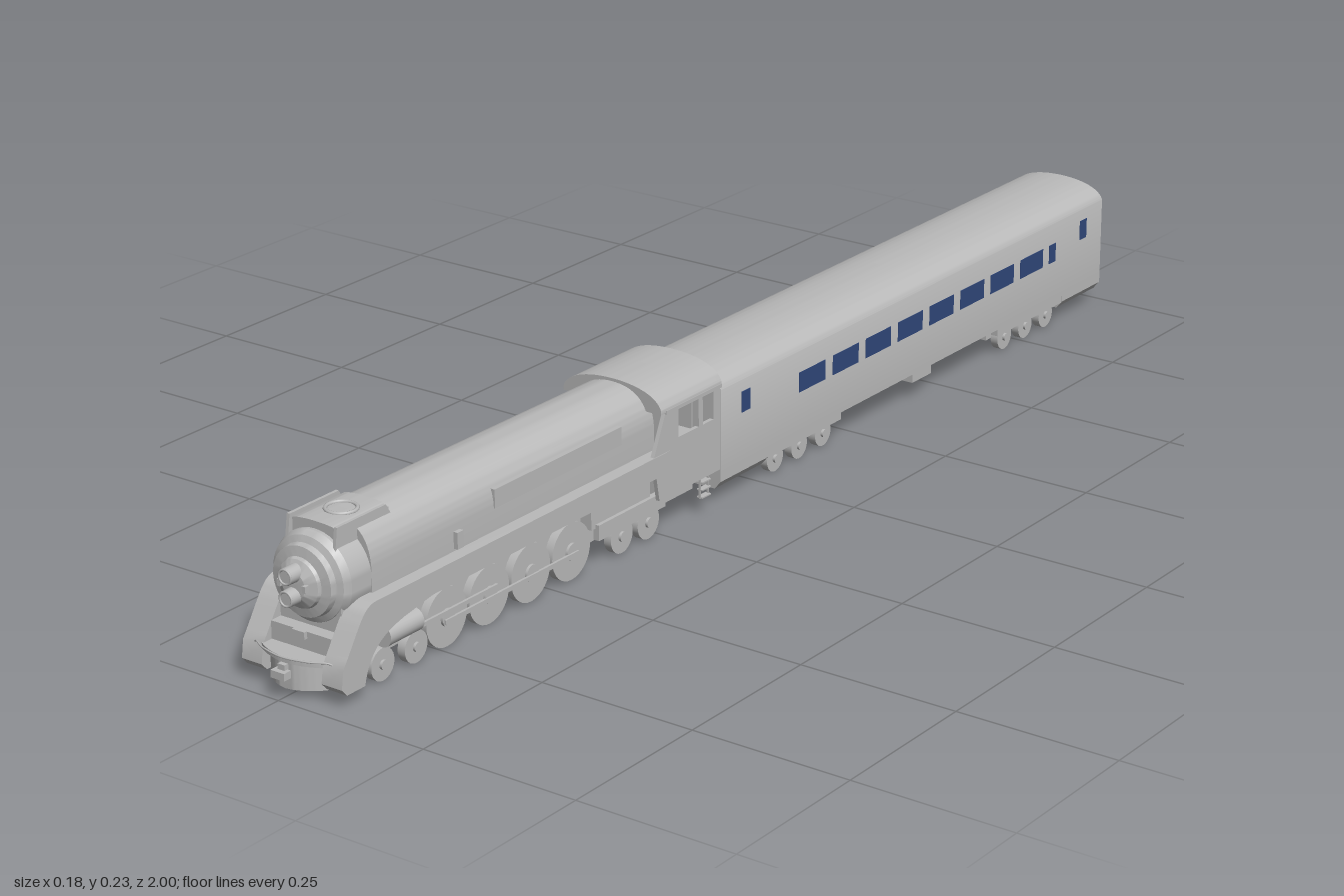
import * as THREE from 'three';
import { toCreasedNormals } from 'three/addons/utils/BufferGeometryUtils.js';

export function createModel() {
  const grey = new THREE.MeshStandardMaterial({ color: 0xb9b9b9 });
  grey.name = 'bodyGrey';
  const navy = new THREE.MeshStandardMaterial({ color: 0x30477a });
  navy.name = 'windowNavy';

  const model = new THREE.Group();
  const loco = new THREE.Group();
  loco.name = 'locomotive';
  const coach = new THREE.Group();
  coach.name = 'coach';
  model.add(loco, coach);

  // Helpers
  const add = (group, name, geo, mat = grey) => {
    const m = new THREE.Mesh(geo, mat);
    m.name = name;
    group.add(m);
    return m;
  };
  const box = (g, name, x0, x1, y0, y1, z0, z1, mat) =>
    add(g, name, new THREE.BoxGeometry(x1 - x0, y1 - y0, z1 - z0)
      .translate((x0 + x1) / 2, (y0 + y1) / 2, (z0 + z1) / 2), mat);
  const shapeOf = (pts) => new THREE.Shape(pts.map(([a, b]) => new THREE.Vector2(a, b)));
  // Cross-section in x,y swept from z0 to z1
  const alongZ = (shape, z0, z1) => toCreasedNormals(
    new THREE.ExtrudeGeometry(shape, { depth: z1 - z0, bevelEnabled: false, curveSegments: 20 }).translate(0, 0, z0), 0.5);
  // Side outline in z,y swept from x0 to x1
  const alongX = (shape, x0, x1) => toCreasedNormals(
    new THREE.ExtrudeGeometry(shape, { depth: x1 - x0, bevelEnabled: false }).rotateY(-Math.PI / 2).translate(x1, 0, 0), 0.5);
  const discX = (r, x0, x1, y, z) =>
    new THREE.CylinderGeometry(r, r, x1 - x0, 32).rotateZ(Math.PI / 2).translate((x0 + x1) / 2, y, z);
  const wheel = (g, name, r, z) => {
    for (const s of [-1, 1]) {
      const a = s * 0.06, b = s * 0.073;
      add(g, name, discX(r, Math.min(a, b), Math.max(a, b), r, z));
      const c = s * 0.073, d = s * 0.077;
      add(g, name + 'Hub', discX(r * 0.3, Math.min(c, d), Math.max(c, d), r, z));
    }
  };
  const bothSides = (fn) => { for (const s of [-1, 1]) fn(s); };
  const sideX = (fn, a, b) => bothSides((s) => fn(Math.min(s * a, s * b), Math.max(s * a, s * b), s));
  // Arched outline: straight walls with a curved roof
  const arch = (w, y0, eave, top) => {
    const s = new THREE.Shape();
    s.moveTo(-w, y0);
    s.lineTo(w, y0);
    s.lineTo(w, eave);
    s.bezierCurveTo(w * 0.92, (eave + top * 2) / 3, w * 0.5, top, 0, top);
    s.bezierCurveTo(-w * 0.5, top, -w * 0.92, (eave + top * 2) / 3, -w, eave);
    return s;
  };

  // ---- Coach ----
  add(coach, 'coachBody', alongZ(arch(0.083, 0.046, 0.182, 0.21), -0.985, 0.107));
  const skirt = shapeOf([[-0.083, 0.046], [-0.083, 0.036], [-0.072, 0.023], [0.072, 0.023], [0.083, 0.036], [0.083, 0.046]].reverse());
  add(coach, 'endSkirt', alongZ(skirt, -0.015, 0.107));
  add(coach, 'endSkirt', alongZ(skirt, -0.985, -0.865));
  for (const z of [-0.112, -0.765]) {
    box(coach, 'bogieFrame', -0.06, 0.06, 0.022, 0.047, z - 0.1, z + 0.1);
    sideX((a, b) => box(coach, 'bogieSide', a, b, 0.034, 0.047, z - 0.1, z + 0.1), 0.07, 0.082);
    for (const d of [-0.064, 0, 0.064]) wheel(coach, 'coachWheel', 0.021, z + d);
  }
  sideX((a, b) => box(coach, 'underfloorBox', a, b, 0.03, 0.047, -0.47, -0.416), 0.04, 0.08);

  // Windows as thin plates
  const pane = (z, w, y0, y1) =>
    sideX((a, b) => box(coach, 'coachWindow', a, b, y0, y1, z - w / 2, z + w / 2, navy), 0.08, 0.0838);
  for (let i = 0; i < 8; i++) pane(-0.131 - i * 0.0903, 0.07, 0.115, 0.147);
  pane(-0.828, 0.02, 0.115, 0.147);
  pane(0.043, 0.021, 0.13, 0.163);
  pane(-0.925, 0.021, 0.13, 0.163);

  // End doors with raised frames
  for (const [z0, z1] of [[-0.989, -0.984], [0.106, 0.11]]) {
    sideX((a, b) => box(coach, 'doorPost', a, b, 0.045, 0.178, z0, z1), 0.027, 0.032);
    box(coach, 'doorHeader', -0.032, 0.032, 0.173, 0.178, z0, z1);
    box(coach, 'doorSill', -0.032, 0.032, 0.045, 0.05, z0, z1);
  }
  box(coach, 'rearCoupler', -0.006, 0.006, 0.034, 0.044, -0.995, -0.98);
  box(coach, 'rearKnuckle', -0.011, 0.011, 0.031, 0.047, -1, -0.993);
  box(coach, 'frontCoupler', -0.008, 0.008, 0.034, 0.046, 0.1, 0.2);

  // ---- Locomotive boiler and nose ----
  const nose = [[0, 0.963], [0.02, 0.961], [0.035, 0.952], [0.037, 0.947], [0.051, 0.944], [0.053, 0.935],
    [0.062, 0.931], [0.067, 0.92], [0.067, 0.25], [0, 0.25]].reverse();
  add(loco, 'boiler', toCreasedNormals(new THREE.LatheGeometry(nose.map(([r, z]) => new THREE.Vector2(r, z)), 48)
    .rotateX(Math.PI / 2), 0.4)).position.y = 0.153;
  for (const y of [0.171, 0.139]) {
    const lamp = add(loco, 'headlight', new THREE.CylinderGeometry(0.012, 0.013, 0.03, 24).rotateX(Math.PI / 2));
    lamp.position.set(0, y, 0.962);
    const rim = add(loco, 'headlightRim', new THREE.TorusGeometry(0.0105, 0.0018, 8, 24));
    rim.position.set(0, y, 0.977);
  }
  bothSides((s) => box(loco, 'noseLatch', s * 0.022 - 0.003, s * 0.022 + 0.003, 0.149, 0.159, 0.95, 0.966));

  // Streamlined jacket that lowers gently toward the cab
  const jacket = new THREE.Shape();
  jacket.moveTo(-0.067, 0.12);
  jacket.lineTo(0.067, 0.12);
  jacket.lineTo(0.067, 0.165);
  jacket.bezierCurveTo(0.066, 0.195, 0.055, 0.231, 0, 0.231);
  jacket.bezierCurveTo(-0.055, 0.231, -0.066, 0.195, -0.067, 0.165);
  const jacketGeo = alongZ(jacket, 0.24, 0.88);
  const p = jacketGeo.attributes.position;
  for (let i = 0; i < p.count; i++) {
    const y = p.getY(i);
    if (y > 0.17 && p.getZ(i) < 0.3) p.setY(i, 0.17 + (y - 0.17) * 0.92);
  }
  add(loco, 'boilerJacket', jacketGeo);
  // Stack cover with side wings
  add(loco, 'stackCover', alongZ(arch(0.04, 0.195, 0.226, 0.231), 0.81, 0.915));
  sideX((a, b) => add(loco, 'smokeWing', alongX(shapeOf([[0.8, 0.2], [0.925, 0.198], [0.92, 0.233], [0.82, 0.233]]), a, b)), 0.039, 0.044);
  const stack = add(loco, 'stack', new THREE.TorusGeometry(0.022, 0.003, 8, 28).rotateX(Math.PI / 2));
  stack.position.set(0, 0.231, 0.86);
  sideX((a, b) => box(loco, 'jacketPanel', a, b, 0.165, 0.193, 0.33, 0.62), 0.055, 0.069);
  sideX((a, b) => box(loco, 'feedValve', a, b, 0.135, 0.16, 0.695, 0.708), 0.06, 0.074);

  // Running boards sweeping down into the front apron
  const apron = new THREE.Shape();
  apron.moveTo(0.24, 0.131);
  apron.lineTo(0.9, 0.131);
  apron.bezierCurveTo(0.925, 0.128, 0.93, 0.11, 0.968, 0.055);
  apron.lineTo(0.972, 0.028);
  apron.lineTo(0.962, 0.017);
  apron.lineTo(0.925, 0.017);
  apron.bezierCurveTo(0.915, 0.06, 0.89, 0.078, 0.84, 0.088);
  apron.lineTo(0.78, 0.098);
  apron.lineTo(0.24, 0.098);
  sideX((a, b) => add(loco, 'sideApron', alongX(apron, a, b)), 0.053, 0.0885);
  box(loco, 'frame', -0.055, 0.055, 0.03, 0.125, 0.14, 0.93);

  // Pilot: rounded plan, leaning forward at the foot
  const plan = new THREE.Shape();
  plan.moveTo(-0.068, 0.93);
  plan.lineTo(-0.068, 0.955);
  plan.quadraticCurveTo(-0.04, 0.982, 0, 0.985);
  plan.quadraticCurveTo(0.04, 0.982, 0.068, 0.955);
  plan.lineTo(0.068, 0.93);
  const slab = (name, y0, y1, sx) => add(loco, name, toCreasedNormals(
    new THREE.ExtrudeGeometry(plan, { depth: y1 - y0, bevelEnabled: false })
      .rotateX(Math.PI / 2).translate(0, y1, 0).scale(sx, 1, 1), 0.5));
  slab('pilot', 0.0125, 0.05, 0.76);
  slab('bufferBeam', 0.05, 0.058, 1.05);
  box(loco, 'frontDeck', -0.053, 0.053, 0.058, 0.085, 0.9, 0.95);
  box(loco, 'deckStep', -0.011, 0.011, 0.075, 0.086, 0.95, 0.956);
  box(loco, 'frontCoupler', -0.006, 0.006, 0.03, 0.05, 0.97, 0.992);
  box(loco, 'frontKnuckle', -0.012, 0.012, 0.031, 0.042, 0.986, 1);
  const rail = new THREE.CatmullRomCurve3([[-0.068, 0.04, 0.965], [-0.068, 0.057, 0.966], [-0.04, 0.06, 0.982],
    [0, 0.06, 0.99], [0.04, 0.06, 0.982], [0.068, 0.057, 0.966], [0.068, 0.04, 0.965]].map((v) => new THREE.Vector3(...v)));
  add(loco, 'frontHandrail', new THREE.TubeGeometry(rail, 40, 0.0014, 6));

  // Wheels, cylinders and rods
  for (const z of [0.87, 0.8]) wheel(loco, 'pilotWheel', 0.024, z);
  for (let i = 0; i < 4; i++) wheel(loco, 'drivingWheel', 0.044, 0.734 - i * 0.0927);
  for (const z of [0.337, 0.273]) wheel(loco, 'trailingWheel', 0.026, z);
  sideX((a, b) => {
    const c = add(loco, 'cylinder', new THREE.CylinderGeometry(0.017, 0.017, 0.07, 24).rotateX(Math.PI / 2));
    c.position.set((a + b) / 2, 0.066, 0.835);
  }, 0.058, 0.086);
  sideX((a, b) => {
    box(loco, 'couplingRod', a, b, 0.037, 0.044, 0.446, 0.744);
    box(loco, 'pistonRod', a, b, 0.052, 0.058, 0.63, 0.81);
  }, 0.076, 0.08);
  sideX((a, b) => box(loco, 'trailingTruckFrame', a, b, 0.042, 0.066, 0.24, 0.4), 0.07, 0.08);
  sideX((a, b) => box(loco, 'ashpan', a, b, 0.06, 0.098, 0.27, 0.41), 0.05, 0.074);

  // Cab: side walls with two open windows each
  const wall = shapeOf([[0.115, 0.06], [0.265, 0.06], [0.278, 0.13], [0.246, 0.2], [0.115, 0.2]]);
  for (const [z0, z1] of [[0.131, 0.158], [0.168, 0.218]]) {
    wall.holes.push(shapeOf([[z0, 0.145], [z0, 0.193], [z1, 0.193], [z1, 0.145]]));
  }
  sideX((a, b) => add(loco, 'cabSide', alongX(wall, a, b)), 0.081, 0.0875);
  add(loco, 'cabRoof', alongZ(arch(0.0885, 0.193, 0.2, 0.231), 0.113, 0.262));
  box(loco, 'cabFront', -0.082, 0.082, 0.06, 0.198, 0.24, 0.25);
  box(loco, 'cabFloor', -0.082, 0.082, 0.06, 0.085, 0.115, 0.245);
  sideX((a, b) => box(loco, 'cabGutter', a, b, 0.19, 0.196, 0.113, 0.25), 0.086, 0.0895);

  // Cab ladders
  bothSides((s) => {
    for (const z of [0.135, 0.155]) box(loco, 'ladderRail', s * 0.08 - 0.0015, s * 0.08 + 0.0015, 0.025, 0.065, z - 0.001, z + 0.001);
    for (const y of [0.026, 0.038, 0.05]) box(loco, 'ladderStep', s * 0.08 - 0.005, s * 0.08 + 0.005, y, y + 0.002, 0.134, 0.156);
  });
  return model;
}
